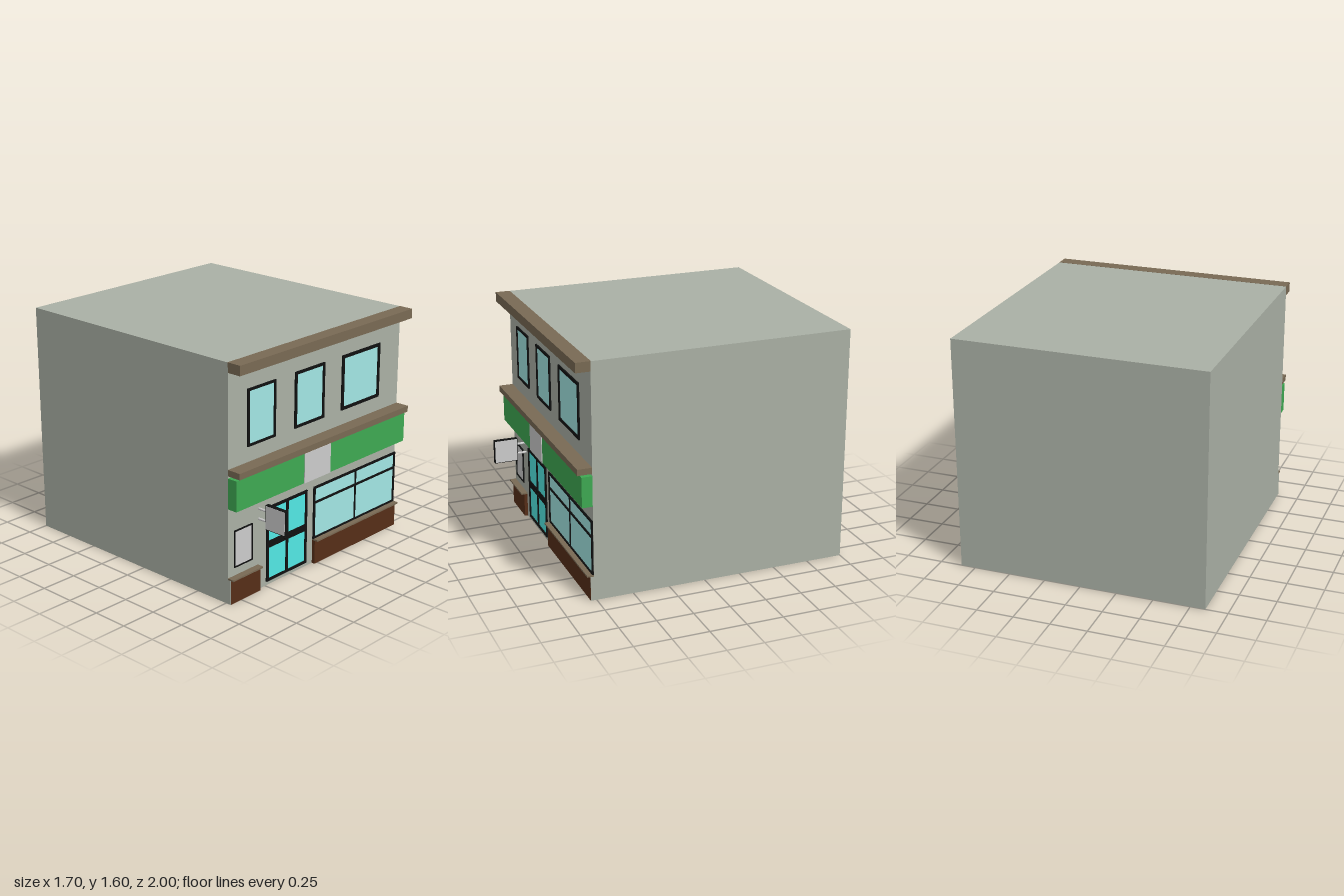
import * as THREE from 'three';

const mat = (color) => new THREE.MeshStandardMaterial({ color, flatShading: true });
const WALL = mat(0xaab0a5), TRIM = mat(0x796a54), GREEN = mat(0x3ea952), BROWN = mat(0x562e18);
const GLASS = mat(0xa2e6e4), DOOR_GLASS = mat(0x52e8e4), BLACK = mat(0x101111), GREY = mat(0xcccccc);
const FRONT = 0.767; // z of the front wall

export function createModel() {
  const root = new THREE.Group();
  root.name = 'shopBuilding';

  // Box given by its limits on each axis
  function box(name, material, [x0, x1], [y0, y1], [z0, z1], parent = root) {
    const mesh = new THREE.Mesh(new THREE.BoxGeometry(x1 - x0, y1 - y0, z1 - z0), material);
    mesh.position.set((x0 + x1) / 2, (y0 + y1) / 2, (z0 + z1) / 2);
    mesh.name = name;
    parent.add(mesh);
    return mesh;
  }

  // Pane with a raised rectangular frame standing on the front wall
  function framed(name, paneMaterial, [x0, x1], [y0, y1], t, depth = 0.01) {
    const group = new THREE.Group();
    group.name = name;
    const rect = (P, a, b, c, d) => {
      const p = new P();
      p.moveTo(a, c); p.lineTo(b, c); p.lineTo(b, d); p.lineTo(a, d); p.closePath();
      return p;
    };
    const shape = rect(THREE.Shape, x0, x1, y0, y1);
    shape.holes.push(rect(THREE.Path, x0 + t, x1 - t, y0 + t, y1 - t));
    const frame = new THREE.Mesh(new THREE.ExtrudeGeometry(shape, { depth, bevelEnabled: false }), BLACK);
    frame.position.z = FRONT;
    frame.name = 'frame';
    group.add(frame);
    box('pane', paneMaterial, [x0 + t, x1 - t], [y0 + t, y1 - t], [FRONT - 0.01, FRONT + 0.003], group);
    root.add(group);
    return group;
  }

  // Building body
  box('body', WALL, [-0.85, 0.85], [0, 1.6], [-1, FRONT]);

  // Cornices
  box('roofCornice', TRIM, [-0.85, 0.85], [1.535, 1.601], [FRONT - 0.003, 0.865]);
  box('middleCornice', TRIM, [-0.85, 0.85], [0.87, 0.912], [FRONT, 0.865]);

  // Shop fascia with a plain centre panel
  box('fasciaRight', GREEN, [-0.85, -0.21], [0.65, 0.855], [FRONT, 0.838]);
  box('fasciaLeft', GREEN, [0.05, 0.85], [0.65, 0.855], [FRONT, 0.838]);
  box('fasciaCentre', GREY, [-0.21, 0.05], [0.65, 0.855], [FRONT, 0.843]);

  // Upper windows
  for (const [x0, x1, t] of [[-0.68, -0.42, 0.016], [-0.235, 0.055, 0.018], [0.235, 0.632, 0.021]])
    framed('upperWindow', GLASS, [x0, x1], [1.015, 1.393], t);

  // Low base walls with sills, ends in wall colour at the building corners
  for (const [x0, x1] of [[-0.85, -0.57], [-0.03, 0.85]]) {
    box('baseWall', BROWN, [Math.max(x0, -0.848), Math.min(x1, 0.848)], [0, 0.167], [FRONT, 0.79]);
    box('baseSill', TRIM, [x0, x1], [0.167, 0.178], [FRONT, 0.812]);
  }
  for (const s of [-1, 1])
    box('baseWallEnd', WALL, [s * 0.849 - 0.001, s * 0.849 + 0.001], [0, 0.167], [FRONT, 0.789]);

  // Shop window with mullion and transom
  const shop = framed('shopWindow', GLASS, [-0.03, 0.848], [0.175, 0.55], 0.015);
  box('mullion', BLACK, [0.403, 0.415], [0.19, 0.535], [FRONT, FRONT + 0.009], shop);
  box('transom', BLACK, [-0.015, 0.833], [0.429, 0.444], [FRONT, FRONT + 0.01], shop);

  // Double door
  const door = framed('door', DOOR_GLASS, [-0.493, -0.098], [0.028, 0.552], 0.018);
  box('doorStile', BLACK, [-0.306, -0.285], [0.046, 0.534], [FRONT, FRONT + 0.009], door);
  box('midRail', BLACK, [-0.475, -0.116], [0.265, 0.312], [FRONT, FRONT + 0.01], door);
  for (const x of [-0.325, -0.266]) {
    const handle = new THREE.Mesh(new THREE.SphereGeometry(0.009, 10, 8), BLACK);
    handle.position.set(x, 0.288, FRONT + 0.014);
    handle.name = 'doorHandle';
    door.add(handle);
  }

  // Notice board beside the door
  framed('noticeBoard', GREY, [-0.797, -0.628], [0.235, 0.488], 0.007);

  // Hanging sign with two rods
  const sign = new THREE.Group();
  sign.name = 'hangingSign';
  root.add(sign);
  box('signBoard', BLACK, [-0.577, -0.549], [0.445, 0.612], [0.834, 1], sign);
  for (const x of [-0.577, -0.549])
    box('signPanel', GREY, [x - 0.001, x + 0.001], [0.449, 0.608], [0.838, 0.996], sign);
  for (const y of [0.495, 0.565]) {
    const rod = new THREE.Mesh(new THREE.CylinderGeometry(0.008, 0.008, 0.07, 10), GREY);
    rod.rotation.x = Math.PI / 2;
    rod.position.set(-0.563, y, 0.801);
    rod.name = 'signRod';
    sign.add(rod);
  }
  return root;
}
